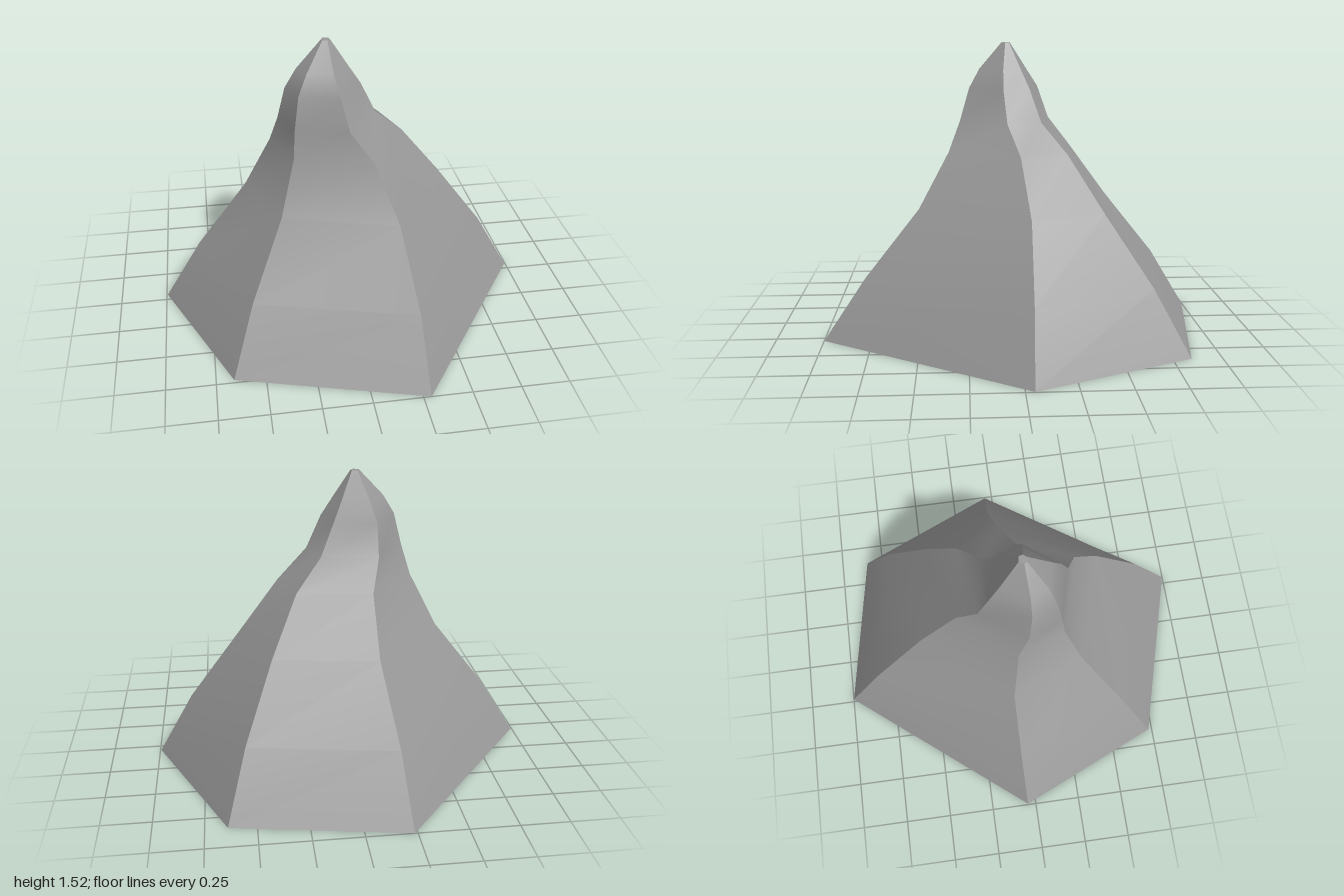
import * as THREE from 'three';

// Heights of the cross-sections, from the open rim to the tip
const levels = [0, 0.33, 0.68, 0.96, 1.11, 1.28, 1.38, 1.52];

// The six ridges, counter-clockwise seen from above: [x, z] at each height
const ridges = [
  [[-0.66, 0.73], [-0.54, 0.56], [-0.36, 0.33], [-0.28, 0.23], [-0.27, 0.215], [-0.245, 0.185], [-0.2, 0.15], [-0.105, 0.055]],
  [[0.29, 1], [0.275, 0.78], [0.22, 0.5], [0.115, 0.345], [0, 0.285], [-0.04, 0.235], [-0.065, 0.18], [-0.08, 0.06]],
  [[0.995, -0.045], [0.81, -0.055], [0.55, -0.06], [0.33, -0.02], [0.17, 0.04], [0.09, 0.057], [0.025, 0.055], [-0.065, 0.04]],
  [[0.64, -0.845], [0.54, -0.67], [0.39, -0.44], [0.25, -0.265], [0.11, -0.14], [0.035, -0.083], [-0.01, -0.04], [-0.07, 0.02]],
  [[-0.235, -1], [-0.2, -0.8], [-0.14, -0.52], [-0.135, -0.315], [-0.18, -0.2], [-0.18, -0.14], [-0.15, -0.075], [-0.1, 0.015]],
  [[-0.995, -0.045], [-0.79, -0.055], [-0.52, -0.06], [-0.38, -0.02], [-0.34, 0.04], [-0.3, 0.055], [-0.24, 0.055], [-0.11, 0.04]],
];

function surface(positions, indices) {
  const geometry = new THREE.BufferGeometry();
  geometry.setAttribute('position', new THREE.Float32BufferAttribute(positions, 3));
  geometry.setIndex(indices);
  geometry.computeVertexNormals();
  return geometry;
}

// One side between two ridges: smooth along its height, sharp at the ridges
function sideGeometry(left, right) {
  const positions = [], indices = [];
  levels.forEach((y, i) => {
    positions.push(left[i][0], y, left[i][1], right[i][0], y, right[i][1]);
    if (i === 0) return;
    const a = 2 * i - 2;
    indices.push(a, a + 1, a + 3, a, a + 3, a + 2);
  });
  return surface(positions, indices);
}

export function createModel() {
  const group = new THREE.Group();
  group.name = 'mountain';
  const material = new THREE.MeshStandardMaterial({ color: 0x999999, side: THREE.DoubleSide });
  const add = (name, geometry) => {
    const mesh = new THREE.Mesh(geometry, material);
    mesh.name = name;
    group.add(mesh);
  };

  // Six slopes around the hollow peak
  ridges.forEach((ridge, i) => {
    add(`slope${i + 1}`, sideGeometry(ridge, ridges[(i + 1) % ridges.length]));
  });

  // Small flat cap at the tip
  const tip = levels.length - 1;
  const rim = ridges.flatMap((ridge) => [ridge[tip][0], levels[tip], ridge[tip][1]]);
  add('tip', surface(rim, [0, 1, 2, 0, 2, 3, 0, 3, 4, 0, 4, 5]));

  return group;
}
